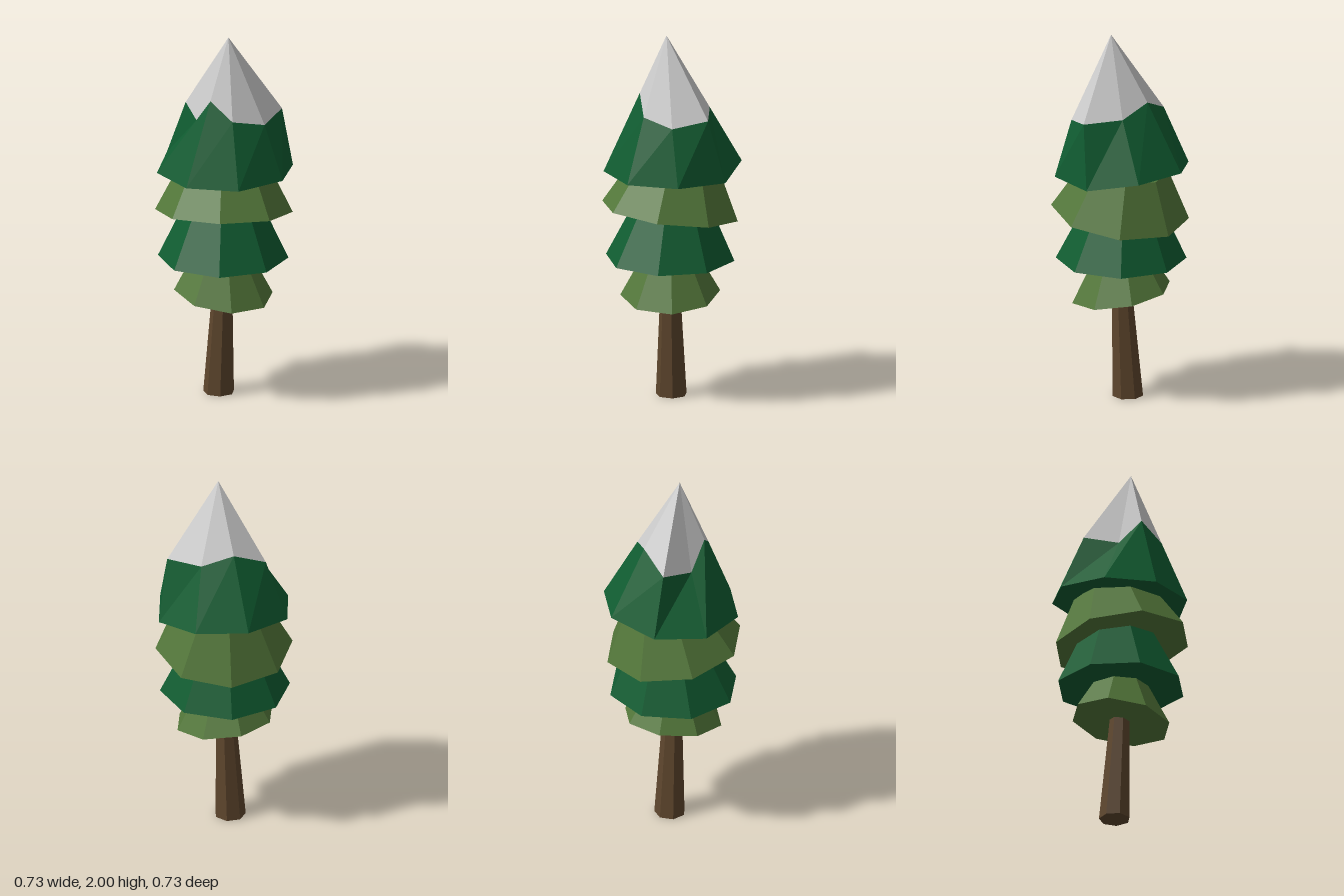
import * as THREE from 'three';

const GREEN = 0x105c31, OLIVE = 0x53773a, BROWN = 0x5e462d, SNOW = 0xcccccc;

// Regular ring of points, counterclockwise from above; slopeX and slopeZ tilt its plane.
function ring(sides, radius, [cx, cy, cz], startDeg = 0, slopeX = 0, slopeZ = 0) {
  return Array.from({ length: sides }, (_, i) => {
    const a = THREE.MathUtils.degToRad(startDeg) + (i / sides) * Math.PI * 2;
    const x = radius * Math.sin(a), z = radius * Math.cos(a);
    return [cx + x, cy + slopeX * x + slopeZ * z, cz + z];
  });
}

// Faceted skin over rings from bottom to top, with optional end caps.
function loft(name, color, rings, capBottom = true, capTop = true) {
  const pos = [];
  const tri = (...corners) => corners.forEach((p) => pos.push(...p));
  const n = rings[0].length;
  const middle = (r) => [0, 1, 2].map((k) => r.reduce((s, p) => s + p[k], 0) / n);
  const first = rings[0], last = rings[rings.length - 1];
  for (let i = 0; i < n; i++) {
    const j = (i + 1) % n;
    for (let r = 0; r + 1 < rings.length; r++) {
      const lo = rings[r], hi = rings[r + 1];
      tri(lo[i], lo[j], hi[j]);
      tri(lo[i], hi[j], hi[i]);
    }
    if (capBottom) tri(first[j], first[i], middle(first));
    if (capTop) tri(last[i], last[j], middle(last));
  }
  const geo = new THREE.BufferGeometry();
  geo.setAttribute('position', new THREE.Float32BufferAttribute(pos, 3));
  geo.computeVertexNormals();
  const mesh = new THREE.Mesh(geo, new THREE.MeshStandardMaterial({ color, flatShading: true }));
  mesh.name = name;
  return mesh;
}

export function createModel() {
  const tree = new THREE.Group();
  tree.name = 'snowyPineTree';

  // Leaning seven-sided trunk
  tree.add(loft('trunk', BROWN, [
    ring(7, 0.083, [-0.04, 0, 0], 2),
    ring(7, 0.053, [-0.01, 0.6, 0], 2),
  ]));

  // Three lower branch tiers, each a tilted eight-sided frustum
  tree.add(loft('lowestBranches', OLIVE, [
    ring(8, 0.263, [-0.005, 0.57, 0], 13, -0.16),
    ring(8, 0.14, [0, 0.79, 0], 13, -0.16),
  ]));
  tree.add(loft('lowerBranches', GREEN, [
    ring(8, 0.344, [-0.006, 0.763, 0]),
    ring(8, 0.205, [-0.015, 1.05, -0.01]),
  ]));
  tree.add(loft('middleBranches', OLIVE, [
    ring(8, 0.363, [0, 1.02, 0], 0, 0.1, 0.1),
    ring(8, 0.225, [-0.03, 1.28, -0.03], 0, 0.1, 0.1),
  ]));

  // Crown: irregular hem and jagged snow line
  const hem = [
    [0.085, 1.245, 0.34], [0.307, 1.245, 0.17], [0.343, 1.25, -0.108], [0.175, 1.245, -0.33],
    [-0.1, 1.29, -0.365], [-0.323, 1.3, -0.197], [-0.36, 1.27, 0.083], [-0.19, 1.25, 0.303],
  ];
  const snowLine = [
    [0.062, 1.68, 0.15], [0.187, 1.585, 0.105], [0.255, 1.55, -0.06], [0.19, 1.585, -0.24],
    [-0.015, 1.6, -0.21], [-0.145, 1.66, -0.098], [-0.23, 1.58, 0.065], [-0.06, 1.54, 0.14],
  ];
  const tip = snowLine.map(() => [0.047, 2, 0.01]);
  tree.add(loft('crownBranches', GREEN, [hem, snowLine], true, false));
  tree.add(loft('snowCap', SNOW, [snowLine, tip], false, false));
  // Drop the zero-area half of each facet that meets at the tip
  const cap = tree.getObjectByName('snowCap').geometry;
  const p = Array.from(cap.attributes.position.array);
  const kept = p.filter((_, i) => i % 18 < 9);
  cap.setAttribute('position', new THREE.Float32BufferAttribute(kept, 3));
  cap.computeVertexNormals();

  return tree;
}
